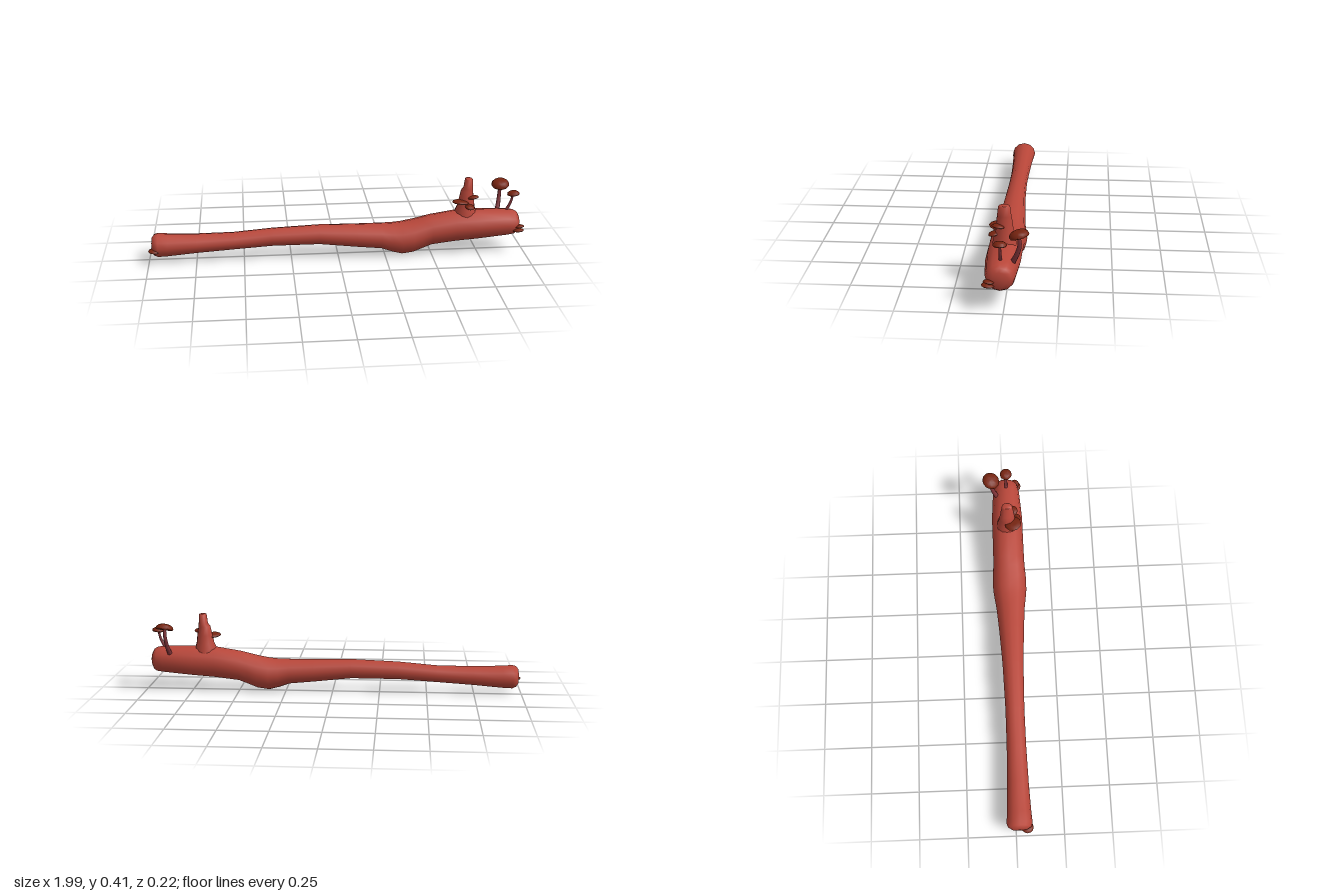
import * as THREE from 'three';
import { mergeVertices, toCreasedNormals } from 'three/addons/utils/BufferGeometryUtils.js';

const bark = new THREE.MeshStandardMaterial({ color: 0xb84639 });
bark.name = 'bark';
const capBrown = new THREE.MeshStandardMaterial({ color: 0x772410 });
capBrown.name = 'capBrown';
const stemRed = new THREE.MeshStandardMaterial({ color: 0x7e3338 });
stemRed.name = 'stemRed';

// Skin a row of elliptical stations; place(station, sin, cos) returns a point.
function loft(stations, sides, place) {
  const g = new THREE.CylinderGeometry(1, 1, 1, sides, stations.length - 1, true);
  const p = g.attributes.position;
  for (let i = 0; i < p.count; i++) {
    const s = stations[Math.floor(i / (sides + 1))];
    p.setXYZ(i, ...place(s, p.getX(i), p.getZ(i)));
  }
  g.deleteAttribute('uv');
  g.deleteAttribute('normal');
  const merged = mergeVertices(g, 1e-5);
  merged.computeVertexNormals();
  return merged;
}

function add(group, name, geometry, material) {
  const mesh = new THREE.Mesh(geometry, material);
  mesh.name = name;
  group.add(mesh);
  return mesh;
}

// Domed disc with a thin rim and a shallow underside, radius r and height h.
function capGeometry(r, h) {
  const profile = [[0, 0.12], [0.5, 0.06], [0.93, 0], [1, 0.2], [0.93, 0.5], [0.7, 0.8], [0.4, 0.95], [0, 1]];
  const points = profile.map(([x, y]) => new THREE.Vector2(x * r, (y - 0.5) * h));
  return toCreasedNormals(new THREE.LatheGeometry(points, 12), 0.9);
}

function addCap(group, name, r, h, pos, tiltX = 0, tiltZ = 0) {
  const cap = add(group, name, capGeometry(r, h), capBrown);
  cap.position.set(...pos);
  cap.rotation.set(tiltX, 0, tiltZ);
}

// Curved stem, a little thicker at its foot.
function addStem(group, name, points, r) {
  const curve = new THREE.CatmullRomCurve3(points.map((p) => new THREE.Vector3(...p)));
  const steps = 10, sides = 8;
  const g = new THREE.TubeGeometry(curve, steps, r, sides, false);
  const p = g.attributes.position;
  const v = new THREE.Vector3();
  for (let i = 0; i < p.count; i++) {
    const t = Math.floor(i / (sides + 1)) / steps;
    const c = curve.getPointAt(t);
    v.fromBufferAttribute(p, i).sub(c).multiplyScalar(1.4 - 0.55 * t).add(c);
    p.setXYZ(i, v.x, v.y, v.z);
  }
  add(group, name, g, stemRed);
}

export function createModel() {
  const model = new THREE.Group();
  model.name = 'mushroomLog';

  // Log stations from right to left: x, top, bottom, half depth
  const log = [
    [0.974, 0.163, 0.163, 0], [0.972, 0.198, 0.128, 0.036], [0.962, 0.217, 0.106, 0.055],
    [0.945, 0.228, 0.095, 0.067], [0.91, 0.235, 0.09, 0.073], [0.75, 0.238, 0.075, 0.084],
    [0.63, 0.235, 0.066, 0.084], [0.5, 0.214, 0.051, 0.085], [0.45, 0.202, 0.032, 0.088],
    [0.4, 0.19, 0.012, 0.092], [0.34, 0.179, 0.004, 0.091], [0.29, 0.174, 0.017, 0.085],
    [0.23, 0.173, 0.038, 0.077], [0.1, 0.174, 0.05, 0.067], [-0.1, 0.177, 0.072, 0.056],
    [-0.35, 0.167, 0.071, 0.05], [-0.55, 0.15, 0.059, 0.051], [-0.75, 0.148, 0.046, 0.056],
    [-0.9, 0.154, 0.033, 0.063], [-0.95, 0.158, 0.031, 0.067], [-0.97, 0.152, 0.04, 0.06],
    [-0.982, 0.135, 0.057, 0.04], [-0.985, 0.096, 0.096, 0],
  ];
  add(model, 'log', loft(log, 12, ([x, top, bottom, depth], s, c) =>
    [x, (top + bottom) / 2 - s * (top - bottom) / 2, 0.018 + c * depth]), bark);

  // Broken branch stations from top to bottom: x, y, half width, half depth
  const branch = [
    [0.695, 0.412, 0, 0], [0.695, 0.412, 0.018, 0.024], [0.695, 0.408, 0.021, 0.028],
    [0.693, 0.36, 0.025, 0.034], [0.687, 0.345, 0.032, 0.036], [0.686, 0.3, 0.041, 0.042],
    [0.684, 0.26, 0.047, 0.047], [0.682, 0.235, 0.056, 0.054], [0.682, 0.2, 0.06, 0.06],
  ];
  add(model, 'branchStump', toCreasedNormals(loft(branch, 12, ([x, y, w, d], s, c) =>
    [x + s * w, y, 0.016 + c * d]), 0.9), bark);

  // Shelf fungi: radius, height, position, tilts
  const shelves = [
    [0.045, 0.016, [0.65, 0.295, 0.046], -0.1, -0.08],
    [0.032, 0.014, [0.714, 0.318, 0.042], -0.12, 0.12],
    [0.026, 0.013, [0.697, 0.272, 0.067], 0.25, -0.1],
    [0.026, 0.012, [0.968, 0.153, 0.067], -0.1, 0.1],
    [0.031, 0.013, [0.962, 0.133, 0.071], -0.1, 0.05],
    [0.032, 0.014, [-0.968, 0.079, 0.058], 0.05, -0.06],
  ];
  shelves.forEach(([r, h, pos, tx, tz], i) => addCap(model, `shelfFungus${i + 1}`, r, h, pos, tx, tz));

  // Large mushroom
  const large = new THREE.Group();
  large.name = 'largeMushroom';
  addStem(large, 'largeStem', [[0.868, 0.205, -0.036], [0.878, 0.25, -0.056], [0.884, 0.3, -0.068], [0.886, 0.348, -0.062]], 0.0095);
  addCap(large, 'largeCap', 0.048, 0.033, [0.885, 0.355, -0.063], 0.28, 0.1);

  // Small mushroom
  const small = new THREE.Group();
  small.name = 'smallMushroom';
  addStem(small, 'smallStem', [[0.902, 0.225, 0.018], [0.916, 0.25, 0.018], [0.929, 0.28, 0.018], [0.937, 0.321, 0.018]], 0.0065);
  addCap(small, 'smallCap', 0.033, 0.021, [0.938, 0.325, 0.018], 0, 0.1);

  model.add(large, small);
  return model;
}
